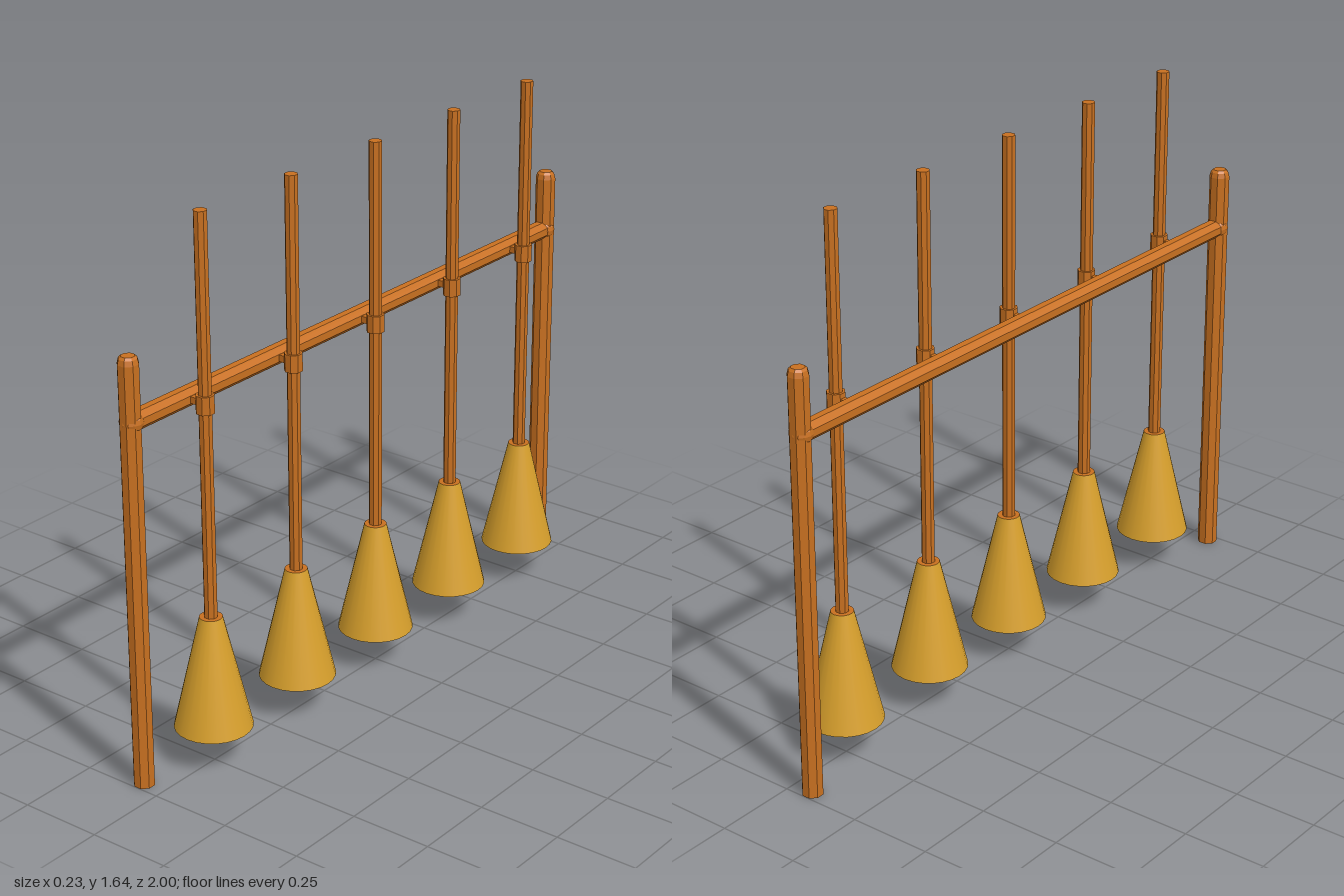
import * as THREE from 'three';

export function createModel() {
  const model = new THREE.Group();
  model.name = 'broomRack';
  const wood = new THREE.MeshStandardMaterial({ color: 0xc87020 });
  wood.name = 'wood';
  wood.flatShading = true;
  const straw = new THREE.MeshStandardMaterial({ color: 0xd8a02c });
  straw.name = 'straw';

  const add = (parent, name, geometry, material, x, y, z) => {
    const mesh = new THREE.Mesh(geometry, material);
    mesh.name = name;
    mesh.position.set(x, y, z);
    parent.add(mesh);
    return mesh;
  };
  // Octagonal prism whose flats face the axes; w is the width across flats
  const octagon = (w, h) =>
    new THREE.CylinderGeometry(w / 2 / Math.cos(Math.PI / 8), w / 2 / Math.cos(Math.PI / 8), h, 8)
      .rotateY(Math.PI / 8);

  const rackX = -0.07, railY = 1.1;

  // Posts with chamfered tops, and the round joints that hold the rail
  const postProfile = [[0, 0], [0.031, 0], [0.031, 1.268], [0.027, 1.283], [0.02, 1.29], [0, 1.29]]
    .map(([x, y]) => new THREE.Vector2(x, y));
  const postGeo = new THREE.LatheGeometry(postProfile, 8).rotateY(Math.PI / 8);
  const jointGeo = new THREE.SphereGeometry(0.034, 12, 8);
  for (const side of [1, -1]) {
    add(model, 'post', postGeo, wood, rackX, 0, side * 0.97);
    add(model, 'railJoint', jointGeo, wood, rackX, railY, side * 0.966);
  }

  // Horizontal rail
  add(model, 'rail', octagon(0.054, 1.94).rotateX(Math.PI / 2), wood, rackX, railY, 0);

  // Five hanging brooms, each clipped to the rail
  const handleGeo = octagon(0.036, 1.225);
  const clipGeo = octagon(0.05, 0.053);
  const pegGeo = new THREE.BoxGeometry(0.05, 0.02, 0.02);
  const headGeo = new THREE.CylinderGeometry(0.033, 0.113, 0.342, 24);
  for (let i = -2; i <= 2; i++) {
    const broom = new THREE.Group();
    broom.name = 'broom';
    broom.position.z = i * 0.375;
    add(broom, 'handle', handleGeo, wood, 0, 1.0325, 0);
    add(broom, 'clip', clipGeo, wood, 0, railY - 0.002, 0);
    add(broom, 'peg', pegGeo, wood, -0.04, railY, 0);
    // Straw side, wooden caps at both ends
    add(broom, 'head', headGeo, [straw, wood, wood], 0, 0.286, 0);
    model.add(broom);
  }
  return model;
}
